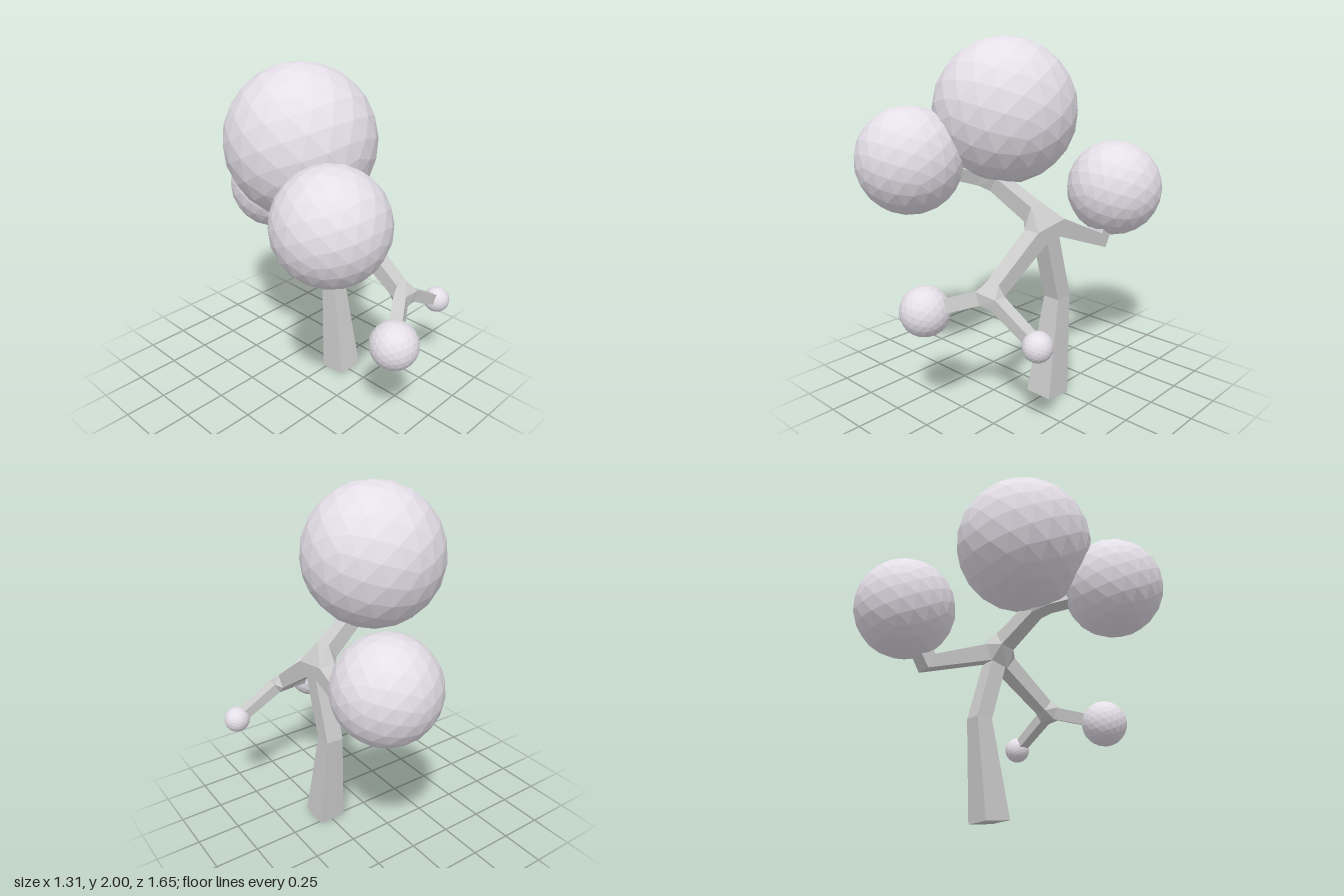
import * as THREE from 'three';
import { ConvexGeometry } from 'three/addons/geometries/ConvexGeometry.js';

const V = (a) => new THREE.Vector3(...a);
const X = [1, 0, 0], Z = [0, 0, 1];

// Square cross-section centred on c, facing dir, with one side along hint
function ring(c, dir, half, hint = X, halfDepth = half) {
  const d = V(dir).normalize();
  const u = V(hint).addScaledVector(d, -V(hint).dot(d)).normalize();
  const v = new THREE.Vector3().crossVectors(d, u);
  return [[1, 1], [-1, 1], [-1, -1], [1, -1]].map(([a, b]) =>
    V(c).addScaledVector(u, a * half).addScaledVector(v, b * halfDepth));
}

// Closed four-sided limb through a list of rings
function limbGeometry(rings) {
  const p = [];
  const quad = (a, b, c, d) => [a, b, c, a, c, d].forEach((q) => p.push(q.x, q.y, q.z));
  for (let k = 0; k < rings.length - 1; k++) {
    const [a, b] = [rings[k], rings[k + 1]];
    for (let i = 0; i < 4; i++) {
      const j = (i + 1) % 4;
      quad(a[i], a[j], b[j], b[i]);
    }
  }
  const s = rings[0], e = rings[rings.length - 1];
  quad(s[3], s[2], s[1], s[0]);
  quad(e[0], e[1], e[2], e[3]);
  const g = new THREE.BufferGeometry();
  g.setAttribute('position', new THREE.Float32BufferAttribute(p, 3));
  g.computeVertexNormals();
  return g;
}

export function createModel() {
  const model = new THREE.Group();
  model.name = 'tree';
  const wood = new THREE.MeshStandardMaterial({ color: 0xcccccc, flatShading: true });
  const leaf = new THREE.MeshStandardMaterial({ color: 0xe4dfe8, flatShading: true });
  const add = (name, geometry, material = wood) => {
    const mesh = new THREE.Mesh(geometry, material);
    mesh.name = name;
    model.add(mesh);
  };
  const limb = (name, ...rings) => add(name, limbGeometry(rings));
  const joint = (name, ...rings) => add(name, new ConvexGeometry(rings.flat()));

  // Trunk, leaning back and then forward
  const trunkTop = ring([0.25, 0.94, 0.085], [0, 0.96, 0.28], 0.05);
  limb('trunk',
    ring([0.247, 0.013, 0.06], [0, 0.99, -0.12], 0.081),
    ring([0.247, 0.58, -0.017], [0, 1, 0.05], 0.051),
    trunkTop);

  // Main fork and its three branches
  const frontStart = ring([0.25, 0.96, 0.175], [0, -0.59, 0.81], 0.05);
  const backStart = ring([0.25, 0.99, 0.01], [0, -0.4, -0.92], 0.05);
  const upperStart = ring([0.175, 1.075, 0.11], [-0.85, 0.5, 0.15], 0.05, Z);
  joint('mainFork', trunkTop, frontStart, backStart, upperStart);

  const frontEnd = ring([0.25, 0.755, 0.47], [0, -0.59, 0.81], 0.042);
  limb('frontBranch', frontStart, frontEnd);

  limb('backBranch', backStart,
    ring([0.25, 0.832, -0.38], [0, 0.39, -0.92], 0.05),
    ring([0.25, 1.0, -0.48], [0, 0.85, -0.5], 0.045));

  const upperEnd = ring([-0.04, 1.215, 0.16], [-0.85, 0.5, 0.2], 0.045, Z);
  limb('upperBranch', upperStart, upperEnd);

  // Front fork with two twigs
  const leftStart = ring([0.31, 0.705, 0.52], [0.89, -0.45, 0], 0.034, Z);
  const rightStart = ring([0.195, 0.71, 0.535], [-0.8, -0.3, 0.5], 0.036, Z);
  joint('frontFork', frontEnd, leftStart, rightStart);
  limb('leftTwig', leftStart, ring([0.55, 0.573, 0.52], [0.89, -0.45, 0], 0.03, Z));
  limb('rightTwig', rightStart, ring([0.0, 0.637, 0.66], [-0.8, -0.3, 0.5], 0.034, Z));

  // Upper fork leading into the two higher crowns
  const sideStart = ring([-0.11, 1.25, 0.22], [-0.65, 0.3, 0.7], 0.04, Z);
  const topStart = ring([-0.07, 1.29, 0.15], [-0.1, 0.9, -0.3], 0.045);
  joint('upperFork', upperEnd, sideStart, topStart);
  limb('sideTwig', sideStart, ring([-0.3, 1.32, 0.43], [-0.65, 0.3, 0.7], 0.04, Z));
  limb('topTwig', topStart, ring([-0.09, 1.5, 0.07], [-0.1, 0.9, -0.3], 0.045));

  // Faceted foliage balls
  [
    ['topFoliage', [-0.095, 1.595, 0.04], 0.405],
    ['sideFoliage', [-0.36, 1.345, 0.51], 0.295],
    ['backFoliage', [0.247, 1.118, -0.543], 0.284],
    ['rightTwigFoliage', [-0.05, 0.617, 0.69], 0.135],
    ['leftTwigFoliage', [0.577, 0.56, 0.523], 0.077],
  ].forEach(([name, c, r]) => {
    const g = new THREE.IcosahedronGeometry(r, 3);
    g.rotateX(0.55);
    g.translate(...c);
    add(name, g, leaf);
  });

  return model;
}
